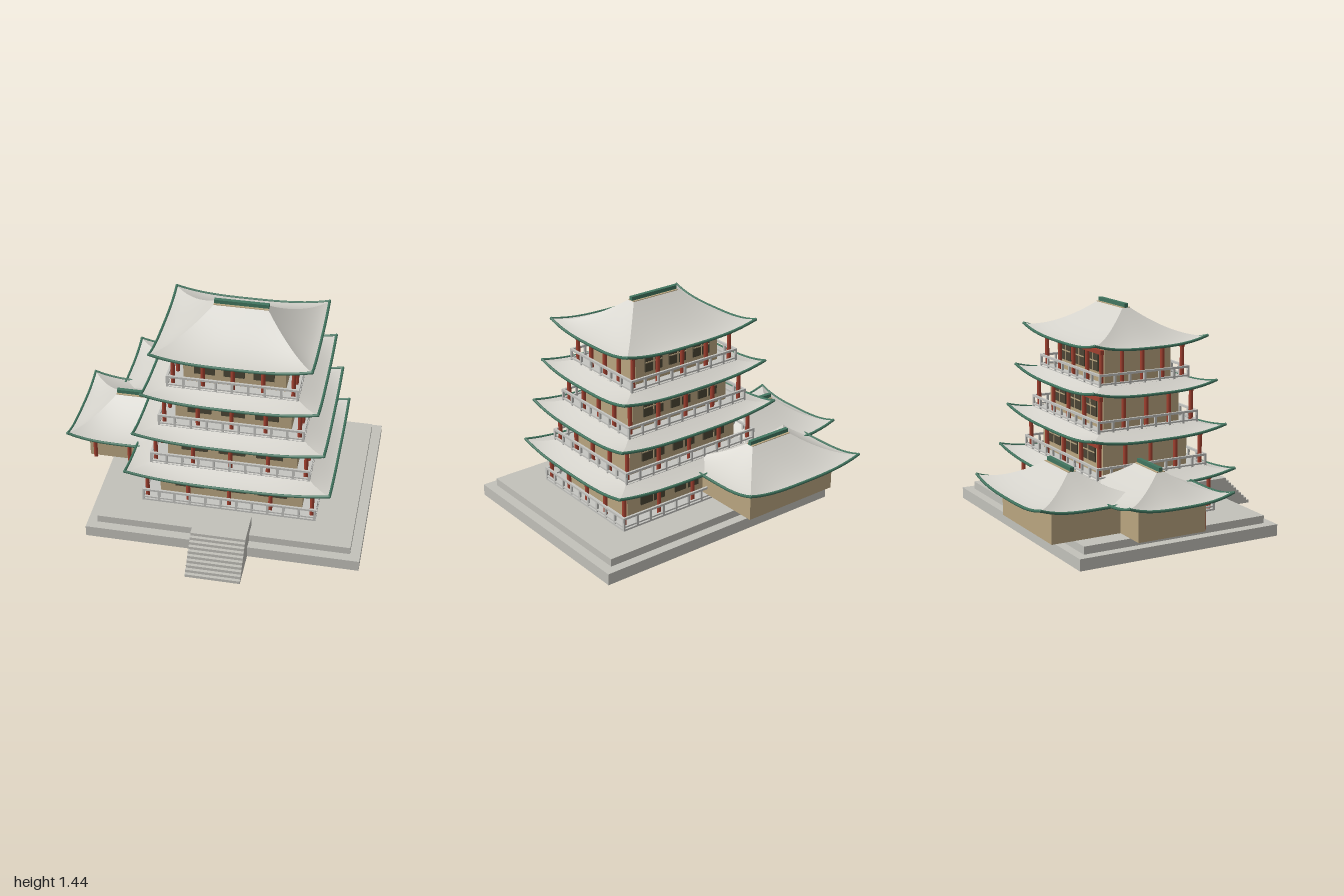
import * as THREE from 'three';

const mat = (name, color, side = THREE.FrontSide) => {
  const m = new THREE.MeshStandardMaterial({ color, side });
  m.name = name;
  return m;
};

export function createModel() {
  const stone = mat('stone', 0xc2c1ba);
  const railGrey = mat('rail grey', 0xc4c4c0);
  const tile = mat('roof tile', 0xd3d1ca, THREE.DoubleSide);
  const plaster = mat('tan plaster', 0xb9a580);
  const red = mat('red timber', 0xa2402f);
  const green = mat('green trim', 0x41755f);
  const dark = mat('window dark', 0x4b4535);

  const model = new THREE.Group();
  model.name = 'pagoda';
  const group = (name, parent, x = 0, y = 0, z = 0) => {
    const g = new THREE.Group();
    g.name = name;
    g.position.set(x, y, z);
    parent.add(g);
    return g;
  };
  const add = (name, parent, geo, material, x = 0, y = 0, z = 0) => {
    const m = new THREE.Mesh(geo, material);
    m.name = name;
    m.position.set(x, y, z);
    parent.add(m);
    return m;
  };
  // box given by its centre in x, z and its bottom in y
  const box = (name, parent, material, w, h, d, x, y, z) =>
    add(name, parent, new THREE.BoxGeometry(w, h, d), material, x, y + h / 2, z);
  const column = (parent, x, y, z, h) =>
    add('column', parent, new THREE.CylinderGeometry(0.0135, 0.0135, h, 12), red, x, y + h / 2, z);

  // curved hip roof from eave half-sizes (ex, ez) to top half-sizes (tx, tz)
  const LIFT = 0.045;
  function roof(parent, ex, ez, tx, tz, rise, power) {
    const U = 24, T = 12;
    const point = (side, u, t) => {
      const hx = ex + (tx - ex) * t, hz = ez + (tz - ez) * t;
      const y = rise * t ** power + LIFT * (1 - t) ** 2 * Math.abs(u) ** 3;
      const s = side < 2 ? 1 : -1;
      return side % 2 === 0
        ? new THREE.Vector3(s * u * hx, y, s * hz)
        : new THREE.Vector3(s * hx, y, -s * u * hz);
    };
    for (let side = 0; side < 4; side++) {
      const pos = [], index = [], eave = [];
      for (let j = 0; j <= T; j++) {
        for (let i = 0; i <= U; i++) {
          const p = point(side, (i / U) * 2 - 1, j / T);
          pos.push(p.x, p.y, p.z);
          if (j === 0) eave.push(p);
          if (i < U && j < T) {
            const a = j * (U + 1) + i, c = a + U + 1;
            index.push(a, a + 1, c, a + 1, c + 1, c);
          }
        }
      }
      const g = new THREE.BufferGeometry();
      g.setAttribute('position', new THREE.Float32BufferAttribute(pos, 3));
      g.setIndex(index);
      g.computeVertexNormals();
      add('roofSlope', parent, g, tile);
      const curve = new THREE.CatmullRomCurve3(eave);
      add('eaveTrim', parent, new THREE.TubeGeometry(curve, 32, 0.009, 6), green);
      add('eaveCorner', parent, new THREE.SphereGeometry(0.01, 8, 6), green, eave[0].x, eave[0].y, eave[0].z);
    }
  }
  // full roof with a ridge on top
  function ridgedRoof(parent, ex, ez, rise) {
    const tx = ex * 0.345, tz = 0.028;
    roof(parent, ex, ez, tx, tz, rise, 1.5);
    box('ridgeBed', parent, plaster, tx * 2, 0.012, tz * 2, 0, rise - 0.008, 0);
    box('ridge', parent, green, tx * 2, 0.028, 0.026, 0, rise, 0);
  }

  // stepped stone platform
  box('lowerPlatform', model, stone, 1.754, 0.075, 1.406, 0.123, 0, 0.004);
  box('upperPlatform', model, stone, 1.626, 0.05, 1.286, 0.123, 0.075, 0.004);

  // staircase, extruded from its side profile
  const steps = 10, zTop = 0.757, zEnd = 0.963;
  const profile = new THREE.Shape();
  profile.moveTo(0.557, 0);
  profile.lineTo(zEnd, 0);
  for (let i = 0; i < steps; i++) {
    const y = (0.2 * (i + 1)) / steps;
    profile.lineTo(zEnd - ((zEnd - zTop) * i) / steps, y);
    profile.lineTo(zEnd - ((zEnd - zTop) * (i + 1)) / steps, y);
  }
  profile.lineTo(0.557, 0.2);
  profile.closePath();
  const stairs = new THREE.ExtrudeGeometry(profile, { depth: 0.348, bevelEnabled: false });
  stairs.rotateY(-Math.PI / 2);
  add('staircase', model, stairs, stone, 0.294, 0, 0);

  // railing around a rectangle
  function railing(parent, hx, hz) {
    const r = group('railing', parent);
    const w = 0.014;
    for (const s of [-1, 1]) {
      for (const [y, h] of [[0.012, 0.01], [0.066, 0.014]]) {
        box('rail', r, railGrey, hx * 2 + w, h, w, 0, y, s * hz);
        box('rail', r, railGrey, w, h, hz * 2 + w, s * hx, y, 0);
      }
      const nx = Math.round(hx * 20), nz = Math.round(hz * 20);
      for (let i = 0; i <= nx; i++)
        box('railPost', r, railGrey, w, 0.07, w, (i / nx * 2 - 1) * hx, 0, s * hz);
      for (let i = 1; i < nz; i++)
        box('railPost', r, railGrey, w, 0.07, w, s * hx, 0, (i / nz * 2 - 1) * hz);
    }
  }

  // window plate with lattice bars, facing s * z
  function windowPanel(parent, x, z, s, w) {
    const g = group('window', parent, x, 0.068, z);
    const h = 0.125;
    box('windowPane', g, dark, w, h, 0.009, 0, 0, s * 0.0045);
    box('windowBar', g, plaster, w, 0.007, 0.004, 0, h / 2 - 0.0035, s * 0.011);
    box('windowBar', g, plaster, 0.007, h, 0.004, 0, 0, s * 0.011);
  }

  // four storeys of the tower
  const tower = group('tower', model, 0.122, 0, 0.006);
  for (let k = 0; k < 4; k++) {
    const f = group('storey' + (k + 1), tower, 0, 0.135 + 0.28 * k, 0);
    const rx = 0.557 - 0.05 * k, rz = 0.425 - 0.036 * k;
    const wx = 0.465 - 0.048 * k, wz = 0.335 - 0.032 * k;
    const cx = 0.535 - 0.053 * k, cz = 0.4 - 0.037 * k;
    box('floorDeck', f, railGrey, rx * 2 + 0.014, 0.014, rz * 2 + 0.014, 0, -0.012, 0);
    box('walls', f, plaster, wx * 2, 0.262, wz * 2, 0, 0, 0);
    railing(f, rx, rz);
    for (const s of [-1, 1]) {
      for (let i = -2; i <= 2; i++) {
        column(f, (i / 2) * cx, 0, s * cz, 0.226);
        if (Math.abs(i) < 2) column(f, s * cx, 0, (i / 2) * cz, 0.226);
      }
      box('beam', f, red, cx * 2 + 0.027, 0.027, 0.024, 0, 0.198, s * cz);
      for (const i of [-1, 0, 1])
        windowPanel(f, i * (0.27 - 0.028 * k), s * wz, s, 0.19 - 0.02 * k);
    }
    const top = group('storeyRoof', f, 0, 0.234, 0);
    const ex = 0.653 - 0.052 * k, ez = 0.516 - 0.039 * k;
    if (k < 3) roof(top, ex, ez, rx - 0.06, rz - 0.05, 0.055, 1.2);
    else ridgedRoof(top, ex, ez, 0.205);
  }

  // low side halls
  function hall(name, x, z, ex) {
    const g = group(name, model, x, 0, z);
    const ez = 0.356, wx = ex - 0.11, wz = 0.232;
    box('hallWalls', g, plaster, wx * 2, 0.205, wz * 2, 0, 0.16, 0);
    for (const i of [-1, 0, 1]) column(g, i * (wx - 0.04), 0.16, wz + 0.012, 0.2);
    ridgedRoof(group('hallRoof', g, 0, 0.369, 0), ex, ez, 0.157);
  }
  hall('sideHall', -0.61, -0.145, 0.382);
  hall('backHall', -0.32, -0.605, 0.453);

  return model;
}
